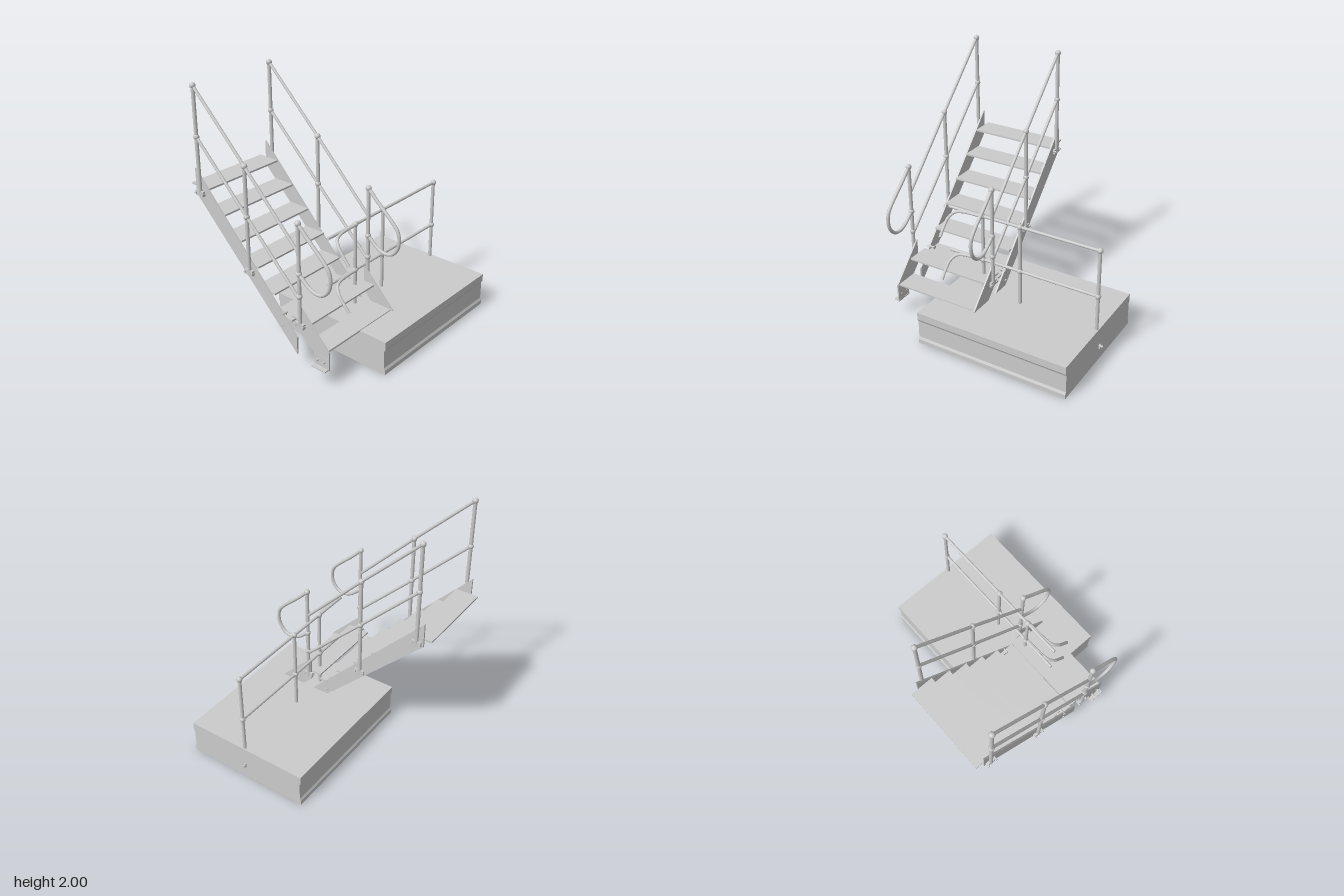
import * as THREE from 'three';

const material = new THREE.MeshStandardMaterial({ color: 0xcccccc });
const V = (x, y, z) => new THREE.Vector3(x, y, z);

function add(parent, name, geometry) {
  const mesh = new THREE.Mesh(geometry, material);
  mesh.name = name;
  parent.add(mesh);
  return mesh;
}

function box(parent, name, size, center) {
  add(parent, name, new THREE.BoxGeometry(...size)).position.set(...center);
}

// Side profile of [z, y] corners, extruded from x0 to x1
function sidePlate(parent, name, profile, x0, x1) {
  const shape = new THREE.Shape(profile.map(([z, y]) => new THREE.Vector2(z, y)));
  const geometry = new THREE.ExtrudeGeometry(shape, { depth: x1 - x0, bevelEnabled: false });
  geometry.rotateY(-Math.PI / 2).translate(x1, 0, 0);
  add(parent, name, geometry);
}

// Straight round bar between two points
function bar(parent, name, a, b, r = 0.012) {
  const mesh = add(parent, name, new THREE.CylinderGeometry(r, r, a.distanceTo(b), 12));
  mesh.position.copy(a).lerp(b, 0.5);
  mesh.quaternion.setFromUnitVectors(V(0, 1, 0), b.clone().sub(a).normalize());
}

function joint(parent, p) {
  add(parent, 'railJoint', new THREE.SphereGeometry(0.023, 14, 10)).position.copy(p);
}

function bolt(parent, x, y, z, length = 0.04) {
  bar(parent, 'bolt', V(x - length / 2, y, z), V(x + length / 2, y, z), 0.009);
}

function bentBar(parent, name, points, r = 0.012) {
  const curve = new THREE.CatmullRomCurve3(points, false, 'centripetal');
  add(parent, name, new THREE.TubeGeometry(curve, 48, r, 10));
}

// Platform block with shallow grooves along front and back
function buildPlatform() {
  const g = new THREE.Group();
  g.name = 'platform';
  sidePlate(g, 'platformBlock', [
    [-0.27, 0], [0.79, 0], [0.79, 0.035], [0.78, 0.055], [0.78, 0.2], [0.79, 0.22], [0.79, 0.28],
    [-0.27, 0.28], [-0.27, 0.22], [-0.26, 0.2], [-0.26, 0.055], [-0.27, 0.035],
  ], -0.46, 0.825);
  bolt(g, 0.84, 0.125, 0.26, 0.036);
  box(g, 'sideLug', [0.012, 0.04, 0.012], [0.832, 0.12, 0.26]);
  return g;
}

// Railing across the platform, with hooked ends toward the stair
function buildPlatformRailing() {
  const g = new THREE.Group();
  g.name = 'platformRailing';
  const z = 0.275;
  for (const x of [-0.185, 0.145, 0.805]) {
    bar(g, 'platformPost', V(x, 0.27, z), V(x, 0.955, z), 0.014);
    for (const y of [0.57, 0.955]) joint(g, V(x, y, z));
  }
  for (const y of [0.57, 0.955]) {
    bar(g, 'platformRail', V(-0.49, y, z), V(0.805, y, z));
    bentBar(g, 'railHook', [
      V(-0.19, y, z + 0.008), V(-0.36, y - 0.005, z + 0.015), V(-0.42, y - 0.02, z + 0.03),
      V(-0.455, y - 0.06, z + 0.07), V(-0.462, y - 0.11, z + 0.115), V(-0.462, y - 0.18, z + 0.175),
    ]);
  }
  return g;
}

// Main flight plus the short forward flight
function buildStair() {
  const g = new THREE.Group();
  g.name = 'stair';
  const tread = (y, front) =>
    box(g, 'tread', [0.715, 0.014, 0.188], [-0.4525, y, front - 0.094]);
  for (let i = 0; i < 6; i++) tread(1.19 - i * 0.16, -0.603 + i * 0.162);
  for (let i = 0; i < 2; i++) tread(0.28 + i * 0.155, 0.553 - i * 0.163);

  for (const x of [-0.816, -0.089]) {
    const inward = x < -0.4 ? 1 : -1;
    sidePlate(g, 'mainStringer', [[-0.73, 1.13], [0.265, 0.14], [0.265, 0.28], [-0.73, 1.33]],
      x - 0.007, x + 0.007);
    sidePlate(g, 'lowerStringer', [[0.57, 0.285], [0.29, 0.57], [0.29, 0.36], [0.52, 0.13], [0.57, 0.13]],
      x - 0.006, x + 0.006);
    for (const y of [0.33, 0.42]) bolt(g, x + inward * 0.014, y, 0.125, 0.06);
    box(g, 'joiningPlate', [0.01, 0.11, 0.03], [x + inward * 0.035, 0.365, 0.11]);
  }
  // Angle foot under the lower left stringer
  box(g, 'footPlate', [0.05, 0.01, 0.13], [-0.835, 0.137, 0.5]);
  box(g, 'footUpright', [0.01, 0.1, 0.13], [-0.818, 0.18, 0.5]);
  bolt(g, -0.826, 0.19, 0.47);
  bolt(g, -0.826, 0.19, 0.53);
  return g;
}

// Sloping handrail along one side of the stair
function buildHandrail(name, x) {
  const g = new THREE.Group();
  g.name = name;
  const posts = [ // z, foot height, mid joint, top joint
    [-0.675, 1.13, 1.595, 1.98],
    [-0.188, 0.64, 1.11, 1.5],
    [0.31, 0.39, 0.65, 1.22],
  ];
  for (const [z, foot, mid, top] of posts) {
    bar(g, 'stairPost', V(x, foot, z), V(x, top, z), 0.015);
    for (const y of [mid, top]) joint(g, V(x, y, z));
    box(g, 'postBracket', [0.022, 0.04, 0.08], [x, foot + 0.02, z]);
    for (const s of [-1, 1]) bolt(g, x, foot + 0.02, z + s * 0.035);
  }
  const [upper, middle] = posts;
  bar(g, 'topRail', V(x, upper[3], upper[0]), V(x, middle[3], middle[0]));
  bar(g, 'topRail', V(x, middle[3], middle[0]), V(x, 1.0, 0.305));
  bar(g, 'midRail', V(x, upper[2], upper[0]), V(x, middle[2], middle[0]));
  bar(g, 'midRail', V(x, middle[2], middle[0]), V(x, 0.63, 0.305));
  // Rounded loop at the foot of the handrail
  bentBar(g, 'endLoop', [
    [1.22, 0.31], [1.14, 0.39], [1.0, 0.545], [0.95, 0.585], [0.89, 0.6], [0.81, 0.588],
    [0.75, 0.54], [0.732, 0.48], [0.752, 0.41], [0.83, 0.31],
  ].map(([y, z]) => V(x, y, z)), 0.014);
  joint(g, V(x, 0.83, 0.31));
  return g;
}

export function createModel() {
  const model = new THREE.Group();
  model.name = 'stairAndPlatform';
  model.add(
    buildPlatform(),
    buildPlatformRailing(),
    buildStair(),
    buildHandrail('rightHandrail', -0.834),
    buildHandrail('leftHandrail', -0.077),
  );
  return model;
}
